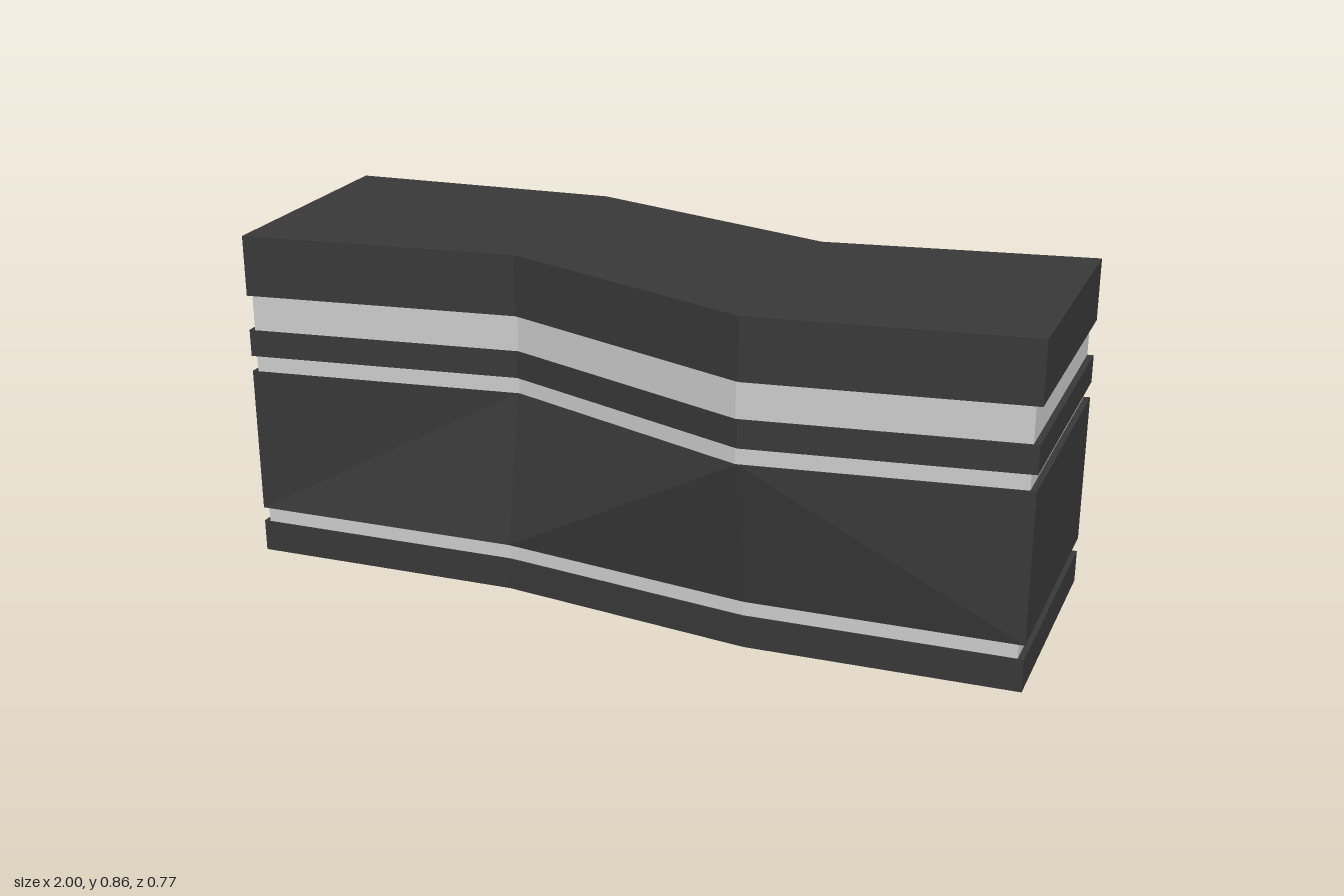
import * as THREE from 'three';

const STATIONS = [-1, -0.31, 0.34, 1];

// Closed outline (x, z): along the front from left to right, then back along the rear
function outline(front, back, sx = 1, sz = 1) {
  const f = STATIONS.map((x, i) => [x * sx, front[i] * sz]);
  const b = STATIONS.map((x, i) => [x * sx, back[i] * sz]);
  return [...f, ...b.reverse()];
}

const FOOT = [[0.28, 0.245, 0.315, 0.28], [-0.33, -0.294, -0.26, -0.33]];
const TOP = [[0.28, 0.17, 0.385, 0.28], [-0.33, -0.385, -0.21, -0.33]];

// Flat-shaded solid joining a lower and an upper outline
function slab(lower, upper, y0, y1) {
  const pos = [];
  const tri = (...pts) => pts.forEach((p) => pos.push(...p));
  const lo = lower.map(([x, z]) => [x, y0, z]);
  const hi = upper.map(([x, z]) => [x, y1, z]);
  const n = lo.length;
  for (let i = 0; i < n; i++) {
    const j = (i + 1) % n;
    const [a, b, c, d] = [lo[i], lo[j], hi[j], hi[i]];
    // Folds of the outer panels run from the bottom corner to the inner top
    if (i === 2 || i === 6) { tri(a, b, d); tri(b, c, d); }
    else { tri(a, b, c); tri(a, c, d); }
  }
  // Caps, one quad per bay
  for (let i = 0; i < 3; i++) {
    const q = [i, i + 1, n - 2 - i, n - 1 - i];
    const [a, b, c, d] = q.map((k) => hi[k]);
    tri(a, b, c); tri(a, c, d);
    const [e, f, g, h] = q.map((k) => lo[k]);
    tri(e, g, f); tri(e, h, g);
  }
  const geo = new THREE.BufferGeometry();
  geo.setAttribute('position', new THREE.Float32BufferAttribute(pos, 3));
  geo.computeVertexNormals();
  return geo;
}

export function createModel() {
  const group = new THREE.Group();
  const dark = new THREE.MeshStandardMaterial({ color: 0x383838, flatShading: true });
  const grey = new THREE.MeshStandardMaterial({ color: 0xcccccc, flatShading: true });

  const foot = outline(...FOOT);
  const top = outline(...TOP);
  const footInset = outline(...FOOT, 0.985, 0.992);
  const topInset = outline(...TOP, 0.985, 0.992);

  // Stacked layers from the floor up
  const layers = [
    ['plinth', foot, foot, 0, 0.083, dark],
    ['plinthReveal', footInset, footInset, 0.083, 0.12, grey],
    ['body', foot, top, 0.12, 0.5, dark],
    ['lowerReveal', topInset, topInset, 0.5, 0.54, grey],
    ['middleBand', top, top, 0.54, 0.61, dark],
    ['upperReveal', topInset, topInset, 0.61, 0.7, grey],
    ['counterTop', top, top, 0.7, 0.855, dark],
  ];
  for (const [name, lower, upper, y0, y1, material] of layers) {
    const mesh = new THREE.Mesh(slab(lower, upper, y0, y1), material);
    mesh.name = name;
    group.add(mesh);
  }
  return group;
}
